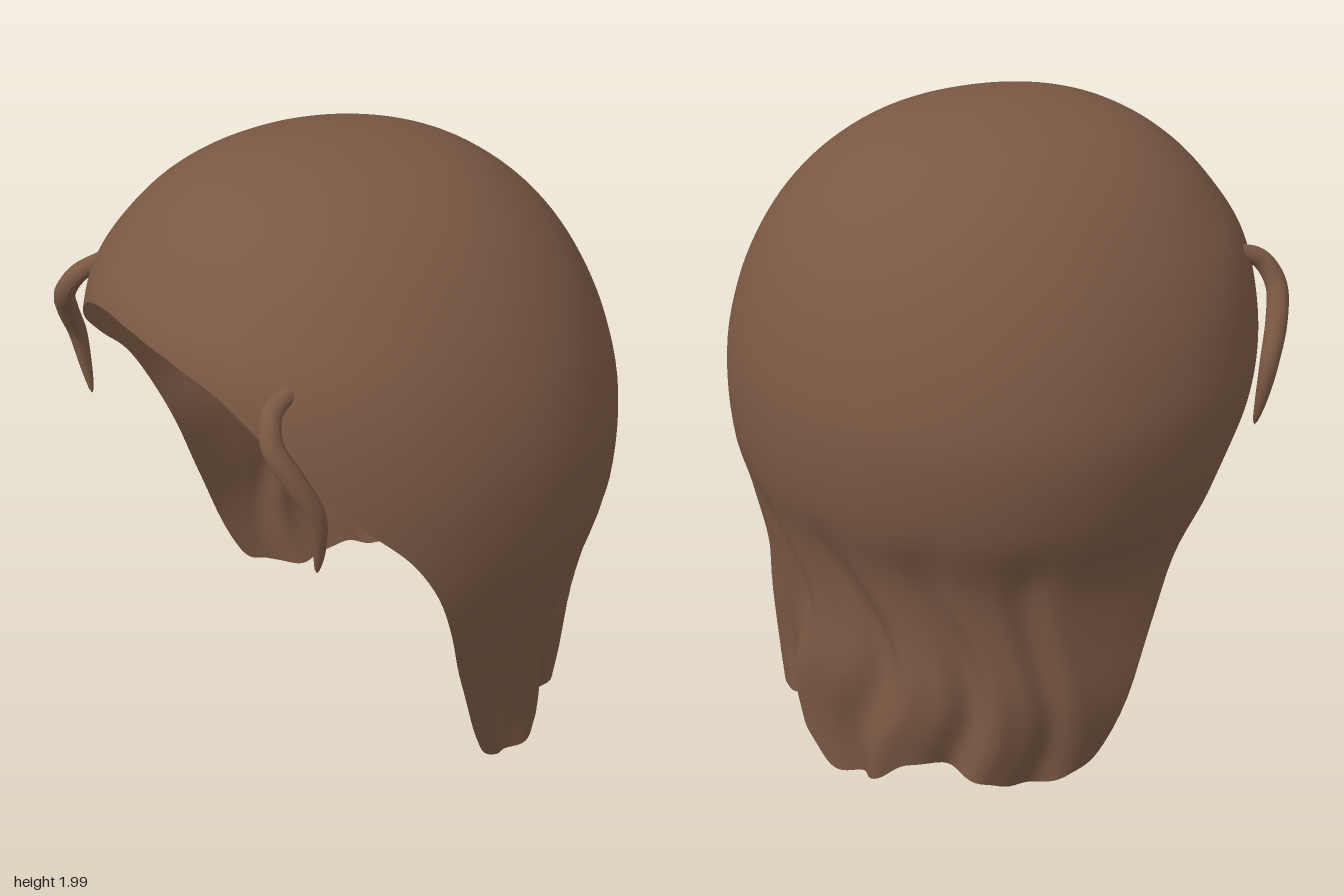
import * as THREE from 'three';

// Smooth (Hermite) lookup in rows of [key, v1, v2, ...] with rising keys
function lookup(rows, x, col) {
  const n = rows.length;
  let i = 0;
  while (i < n - 2 && x > rows[i + 1][0]) i++;
  const slope = (k) => {
    const a = rows[Math.max(0, k - 1)], b = rows[Math.min(n - 1, k + 1)];
    return (b[col] - a[col]) / (b[0] - a[0]);
  };
  const p = rows[i], q = rows[i + 1], h = q[0] - p[0];
  const t = Math.min(1, Math.max(0, (x - p[0]) / h)), t2 = t * t, t3 = t2 * t;
  return (2 * t3 - 3 * t2 + 1) * p[col] + (t3 - 2 * t2 + t) * h * slope(i)
    + (3 * t2 - 2 * t3) * q[col] + (t3 - t2) * h * slope(i + 1);
}

// Cross-sections from the crown down: height, half width, front z, back z, sideways lean
const sections = [
  [2, 0, 0.09, 0.09, 0], [1.985, 0.17, 0.28, -0.11, 0], [1.94, 0.335, 0.44, -0.29, 0],
  [1.85, 0.49, 0.58, -0.445, 0], [1.74, 0.605, 0.68, -0.56, 0], [1.61, 0.7, 0.76, -0.645, 0],
  [1.45, 0.775, 0.79, -0.71, 0], [1.25, 0.82, 0.79, -0.75, 0], [1, 0.805, 0.77, -0.74, 0.01],
  [0.8, 0.75, 0.74, -0.68, 0.02], [0.6, 0.715, 0.71, -0.64, -0.005],
  [0.35, 0.69, 0.69, -0.65, -0.035], [0, 0.63, 0.64, -0.62, -0.03],
].map(([y, ...v]) => [Math.sqrt(2 - y), ...v]);

// Hem height by angle: 0 is the front, 90 the left side, 180 the back
const hem = [
  [0, 1.61], [14, 1.59], [28, 1.53], [45, 1.34], [55, 1.22], [65, 1.09], [73, 0.89],
  [83, 0.53], [91, 0.2], [98, 0.11], [110, 0.06], [120, 0.11], [130, 0.14], [143, 0.17],
  [150, 0.15], [157, 0.1], [163, 0.11], [174, 0.14], [182, 0.08], [189, 0.01], [198, 0.02],
  [208, 0.07], [216, 0.15], [227, 0.16], [238, 0.12], [249, 0.09], [260, 0.12], [269, 0.2],
  [277, 0.53], [287, 0.89], [295, 1.09], [305, 1.22], [315, 1.34], [332, 1.53],
  [346, 1.6], [360, 1.61],
];

// Hair shell: curves run from the crown to the hem, with wavy folds low at the back
function hairGeometry() {
  const cols = 270, rows = 56, pos = [], index = [];
  const rounded = (v) => Math.sign(v) * Math.abs(v) ** (2 / 2.2);
  for (let i = 0; i <= rows; i++) {
    for (let j = 0; j < cols; j++) {
      const deg = (j / cols) * 360, a = THREE.MathUtils.degToRad(deg);
      const d = (i / rows) * Math.sqrt(2 - lookup(hem, deg, 1));
      const y = 2 - d * d;
      const [hx, zf, zb, lean] = [1, 2, 3, 4].map((c) => lookup(sections, d, c));
      const low = 1 - THREE.MathUtils.smoothstep(y, 0.45, 1.05);
      const back = THREE.MathUtils.smoothstep(180 - Math.abs(deg - 180), 90, 118);
      const phase = 14 * a + 1.3 * Math.sin(7.5 * y + 2 * a) + 0.8 * Math.sin(3 * a);
      const fold = 1 + low * back * (0.036 * Math.sin(phase) + 0.012 * Math.sin(2 * phase + 0.8));
      // the front half is a little squarer than the back
      const front = Math.cos(a) > 0;
      const sx = front ? rounded(Math.sin(a)) : Math.sin(a);
      const cz = front ? rounded(Math.cos(a)) : Math.cos(a);
      pos.push(lean + hx * sx * fold, y, (zf + zb) / 2 + ((zf - zb) / 2) * cz * fold);
      if (i < rows) {
        const k = (j + 1) % cols, p = i * cols, q = p + cols;
        if (i > 0) index.push(p + j, q + k, p + k);
        index.push(p + j, q + j, q + k);
      }
    }
  }
  const g = new THREE.BufferGeometry();
  g.setAttribute('position', new THREE.Float32BufferAttribute(pos, 3));
  g.setIndex(index);
  g.computeVertexNormals();
  return g;
}

// Loose strand: a tube that narrows to a point
function strandGeometry(side) {
  const curve = new THREE.CatmullRomCurve3([
    [0.48, 1.59, 0.58], [0.5, 1.56, 0.65], [0.54, 1.49, 0.68], [0.59, 1.4, 0.65],
    [0.625, 1.29, 0.605], [0.62, 1.18, 0.59], [0.6, 1.08, 0.585],
  ].map(([x, y, z]) => new THREE.Vector3(side * x, y, z)));
  const seg = 40, sides = 14;
  const g = new THREE.TubeGeometry(curve, seg, 0.034, sides);
  const p = g.attributes.position, v = new THREE.Vector3();
  for (let i = 0; i < p.count; i++) {
    const t = Math.floor(i / (sides + 1)) / seg, c = curve.getPointAt(t);
    const r = (0.75 + 0.25 * Math.sin(Math.PI * t)) * Math.sqrt(Math.max(0, 1 - t ** 3));
    v.fromBufferAttribute(p, i).sub(c).multiplyScalar(r).add(c);
    p.setXYZ(i, v.x, v.y, v.z);
  }
  g.computeVertexNormals();
  return g;
}

export function createModel() {
  const group = new THREE.Group();
  group.name = 'hair';
  const brown = new THREE.MeshStandardMaterial({ color: 0x7a5843, side: THREE.DoubleSide });
  brown.name = 'brown hair';

  const add = (name, geometry) => {
    const mesh = new THREE.Mesh(geometry, brown);
    mesh.name = name;
    group.add(mesh);
  };
  add('hairShell', hairGeometry());
  add('leftStrand', strandGeometry(1));
  add('rightStrand', strandGeometry(-1));
  return group;
}
